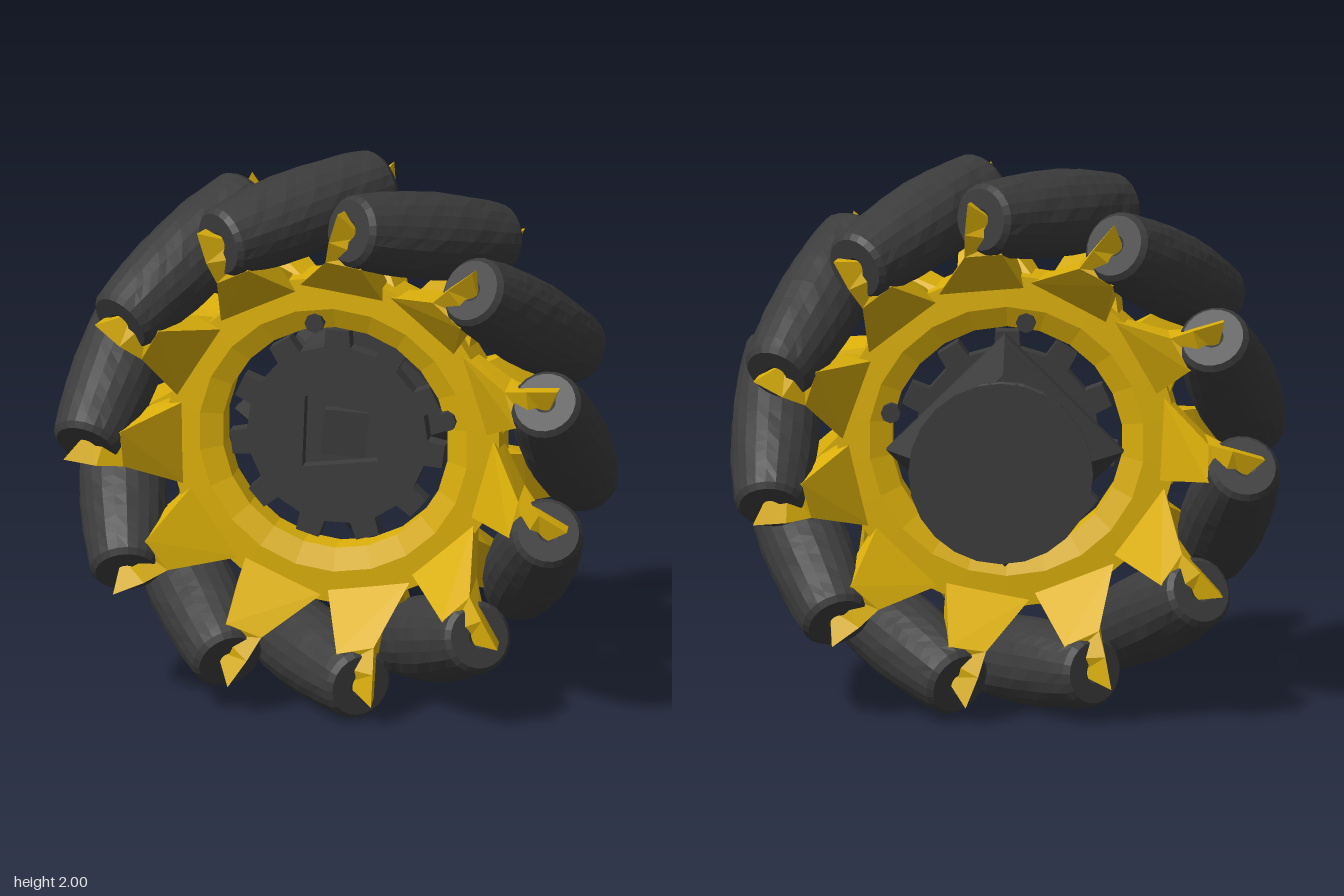
import * as THREE from 'three';

const dark = new THREE.MeshStandardMaterial({ color: 0x3c3c3c, flatShading: true });
dark.name = 'dark rubber';
const yellow = new THREE.MeshStandardMaterial({ color: 0xdcb00a, flatShading: true, side: THREE.DoubleSide });
yellow.name = 'yellow hub paint';

const COUNT = 11, TILT = 0.698, MID_Z = 0.13, ROLLER_R = 0.84;

function part(name, geometry, material) {
  const m = new THREE.Mesh(geometry, material);
  m.name = name;
  return m;
}

// Lathe or cylinder axis turned from y to z
function alongZ(geometry, z = 0) {
  return geometry.rotateX(Math.PI / 2).translate(0, 0, z);
}

function lathe(points, sides) {
  return new THREE.LatheGeometry(points.map(p => new THREE.Vector2(p[0], p[1])), sides);
}

// Barrel whose tilted outside follows the wheel's circle, with worn, lumpy rubber
function rollerGeometry() {
  const pts = [[0, -0.34], [0.04, -0.37], [0.113, -0.37]];
  for (let i = -8; i <= 8; i++) {
    const t = i * 0.0437;
    pts.push([1 - Math.hypot(ROLLER_R, t * Math.sin(TILT)), t]);
  }
  pts.push([0.113, 0.37], [0.04, 0.37], [0, 0.34]);
  const g = lathe(pts, 22);
  const p = g.attributes.position;
  for (let i = 0; i < p.count; i++) {
    const x = p.getX(i), y = p.getY(i), z = p.getZ(i);
    if (Math.abs(y) > 0.32) continue;
    const k = 1 + 0.015 * Math.sin(x * 71 + y * 103) * Math.cos(z * 67 - y * 57);
    p.setXYZ(i, x * k, y + 0.012 * Math.sin(x * 70 + z * 90), z * k);
  }
  return alongZ(g);
}

// Loft through four-cornered sections: front left, front right, back right, back left
function loft(sections) {
  const pos = sections.flat(2), index = [];
  for (let s = 0; s < sections.length - 1; s++) {
    for (let i = 0; i < 4; i++) {
      const a = s * 4 + i, b = s * 4 + (i + 1) % 4;
      index.push(a, b, b + 4, a, b + 4, a + 4);
    }
  }
  const e = (sections.length - 1) * 4;
  index.push(e, e + 1, e + 2, e, e + 2, e + 3, 0, 2, 1, 0, 3, 2);
  const g = new THREE.BufferGeometry();
  g.setAttribute('position', new THREE.Float32BufferAttribute(pos, 3));
  g.setIndex(index);
  const flat = g.toNonIndexed();
  flat.computeVertexNormals();
  return flat;
}

// Disc outline with square teeth
function toothedShape(teeth, rIn, rOut) {
  const pts = [];
  for (let i = 0; i < teeth; i++) {
    [[0, rIn], [0.5, rIn], [0.56, rOut], [0.94, rOut]].forEach(([f, r]) => {
      const a = (i + f) / teeth * Math.PI * 2;
      pts.push(new THREE.Vector2(r * Math.cos(a), r * Math.sin(a)));
    });
  }
  return new THREE.Shape(pts);
}

function buildMotor() {
  const motor = new THREE.Group();
  motor.name = 'motor';

  // Toothed front plate with a square socket
  const shape = toothedShape(11, 0.335, 0.4);
  const socket = new THREE.Path();
  [[-0.13, -0.13], [-0.12, 0.14], [0.12, 0.15], [0.15, -0.09]].forEach(([x, y], i) =>
    i ? socket.lineTo(x, y) : socket.moveTo(x, y));
  socket.closePath();
  shape.holes.push(socket);
  const plate = new THREE.ExtrudeGeometry(shape, { depth: 0.06, bevelEnabled: false });
  motor.add(part('frontPlate', plate.translate(0, 0, 0.09), dark));
  const key = new THREE.BoxGeometry(0.16, 0.17, 0.04).rotateY(0.2).rotateZ(-0.1).translate(0.02, 0, 0.11);
  motor.add(part('socketKey', key, dark));

  // Square housing, corners up and to the sides, narrowing to the neck
  motor.add(part('housing', alongZ(lathe([
    [0, -0.27], [0.32, -0.27], [0.43, -0.11], [0.43, -0.07], [0.32, 0.1], [0, 0.1]], 4)), dark));

  // Ribbed neck and end flange
  motor.add(part('neck', alongZ(lathe([
    [0, -0.48], [0.335, -0.48], [0.335, -0.472], [0.293, -0.445], [0.293, -0.43],
    [0.28, -0.425], [0.28, -0.275], [0.295, -0.27], [0.295, -0.25], [0, -0.25]], 24)), dark));
  const ribs = new THREE.Group();
  ribs.name = 'neckRibs';
  const ribGeo = new THREE.CylinderGeometry(0.004, 0.03, 0.16, 4).rotateX(Math.PI / 2);
  for (let i = 0; i < 32; i++) {
    const a = i / 32 * Math.PI * 2;
    const rib = part('neckRib', ribGeo, dark);
    rib.position.set(0.266 * Math.cos(a), 0.266 * Math.sin(a), -0.35);
    // Neighbouring ribs taper in opposite directions
    rib.rotation.set(i % 2 * Math.PI, 0, a);
    ribs.add(rib);
  }
  motor.add(ribs);
  return motor;
}

export function createModel() {
  const model = new THREE.Group();
  model.name = 'rollerWheel';
  model.position.y = 1;
  const wheel = new THREE.Group();
  wheel.name = 'wheel';
  wheel.position.z = MID_Z;

  // Faceted hub ring
  wheel.add(part('hubRing', alongZ(lathe([
    [0.42, -0.05], [0.5, -0.085], [0.62, -0.08], [0.62, 0.08],
    [0.5, 0.085], [0.42, 0.05], [0.42, -0.05]], 22)), yellow));

  // Bolts through the ring
  [[-0.07, 0.44], [0.42, 0.1]].forEach(([x, y]) => {
    const bolt = part('hubBolt', alongZ(new THREE.CylinderGeometry(0.036, 0.036, 0.18, 8)), dark);
    bolt.position.set(x, y, 0);
    wheel.add(bolt);
  });

  const rollerGeo = rollerGeometry();
  // Arm rising from the ring, then folding up against the roller's end
  const bracketGeo = loft([
    [[-0.34, 0.48, 0.07], [-0.04, 0.57, 0.08], [-0.04, 0.57, -0.06], [-0.33, 0.48, -0.06]],
    [[-0.27, 0.69, 0.28], [-0.14, 0.73, 0.3], [-0.08, 0.67, 0.08], [-0.26, 0.67, 0.08]],
    [[-0.285, 0.78, 0.32], [-0.15, 0.78, 0.29], [-0.15, 0.78, 0.24], [-0.28, 0.78, 0.25]],
    [[-0.295, 0.9, 0.335], [-0.18, 0.84, 0.28], [-0.17, 0.84, 0.24], [-0.285, 0.89, 0.25]],
  ]);

  for (let i = 0; i < COUNT; i++) {
    const station = new THREE.Group();
    station.name = 'rollerStation';
    station.rotation.z = (2 / 180 + 2 * i / COUNT - 0.5) * Math.PI;
    const roller = part('roller', rollerGeo, dark);
    roller.position.y = ROLLER_R;
    roller.rotation.y = -TILT;
    station.add(roller);
    // The same arm serves both ends, half a turn apart
    [0, Math.PI].forEach(turn => {
      const bracket = part(turn ? 'backBracket' : 'frontBracket', bracketGeo, yellow);
      bracket.rotation.y = turn;
      station.add(bracket);
    });
    wheel.add(station);
  }

  model.add(wheel, buildMotor());
  const root = new THREE.Group();
  root.name = 'wheelAssembly';
  root.add(model);
  return root;
}
